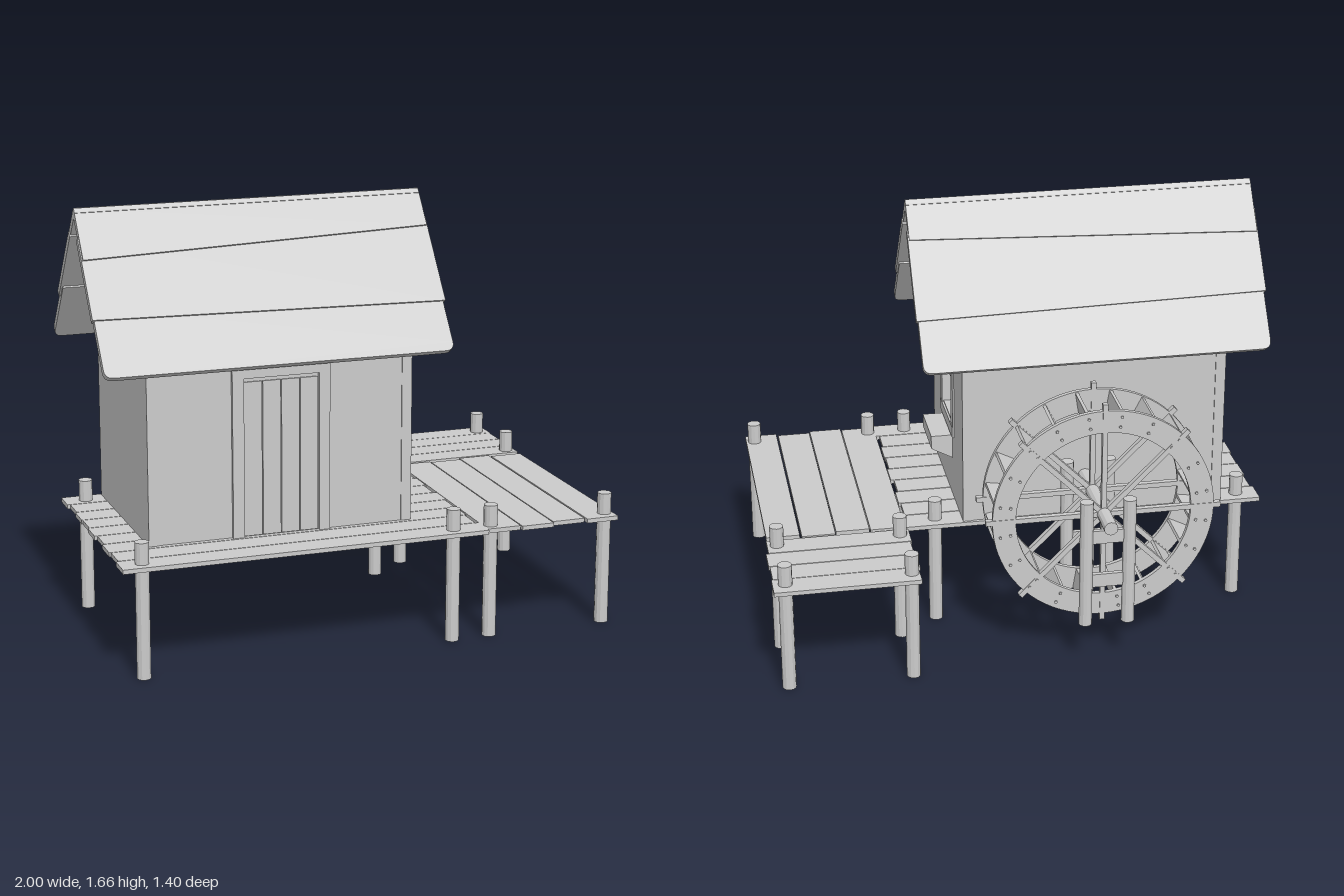
import * as THREE from 'three';

const mat = new THREE.MeshStandardMaterial({ color: 0xcccccc, flatShading: true, side: THREE.DoubleSide });

function add(parent, name, geometry, x = 0, y = 0, z = 0) {
  const mesh = new THREE.Mesh(geometry, mat);
  mesh.name = name;
  mesh.position.set(x, y, z);
  parent.add(mesh);
  return mesh;
}

function group(parent, name, x = 0, y = 0, z = 0) {
  const g = new THREE.Group();
  g.name = name;
  g.position.set(x, y, z);
  parent.add(g);
  return g;
}

// Box given by its limits on each axis
function block(parent, name, x0, x1, y0, y1, z0, z1) {
  return add(parent, name, new THREE.BoxGeometry(x1 - x0, y1 - y0, z1 - z0),
    (x0 + x1) / 2, (y0 + y1) / 2, (z0 + z1) / 2);
}

function post(parent, name, x, z, y0, y1, r = 0.027) {
  return add(parent, name, new THREE.CylinderGeometry(r, r, y1 - y0, 12), x, (y0 + y1) / 2, z);
}

function polygon(points) {
  return new THREE.Shape(points.map(([x, y]) => new THREE.Vector2(x, y)));
}

function extrude(shape, depth, curveSegments = 6) {
  return new THREE.ExtrudeGeometry(shape, { depth, bevelEnabled: false, curveSegments });
}

function buildDecks(root) {
  const deck = group(root, 'deck');
  const y0 = 0.425, y1 = 0.442, gap = 0.002;
  // Main deck, boards along x with uneven ends
  const ends = [0, 0.012, 0.004, 0.015, 0.002, 0.01, 0.006, 0.014, 0];
  ends.forEach((e, i) => {
    const z = -0.252 + i * 0.1058;
    block(deck, 'mainDeckBoard', -0.99 + ends[8 - i] * 0.8, 0.44 - e, y0, y1, z + gap, z + 0.1058 - gap);
  });
  // Side pier, boards along z
  [[0.44, 0.576, -0.245, 0.685], [0.58, 0.71, -0.235, 0.695], [0.714, 0.845, -0.252, 0.68], [0.852, 0.982, -0.237, 0.695]]
    .forEach(([a, b, c, d]) => block(deck, 'pierBoard', a, b, y0, y1, c, d));
  // Rear pier, boards along x
  [[-0.684, 0.44, 0.995], [-0.579, 0.432, 0.99], [-0.473, 0.438, 0.995], [-0.367, 0.432, 0.985]]
    .forEach(([z, a, b]) => block(deck, 'rearPierBoard', a, b, y0, y1, z + gap, z + 0.104));
  // Supporting posts
  for (const x of [-0.905, 0.315]) for (const z of [0.645, -0.192]) post(deck, 'deckPost', x, z, 0, 0.525);
  for (const x of [0.47, 0.947]) for (const z of [0.64, -0.305, -0.62]) post(deck, 'pierPost', x, z, 0, 0.525);
}

function buildHouse(root) {
  const house = group(root, 'house');
  // Gable walls, drawn in (-z, y) and turned to face +x
  for (const side of ['left', 'right']) {
    const s = polygon([[-0.47, 0.44], [0.24, 0.44], [0.24, 1.13], [-0.113, 1.6], [-0.47, 1.13]]);
    if (side === 'left') s.holes.push(polygon([[-0.215, 0.76], [-0.215, 1.035], [-0.005, 1.035], [-0.005, 0.76]]));
    const wall = add(house, side + 'GableWall', extrude(s, 0.04), side === 'left' ? 0.17 : -0.83);
    wall.rotation.y = Math.PI / 2;
  }
  block(house, 'frontWall', -0.79, 0.17, 0.44, 1.14, 0.43, 0.466);
  block(house, 'backWall', -0.79, 0.17, 0.44, 1.14, -0.236, -0.2);

  // Door with frame and planks
  const door = group(house, 'door');
  block(door, 'doorJamb', -0.505, -0.46, 0.44, 1.1, 0.46, 0.48);
  block(door, 'doorJamb', -0.165, -0.122, 0.44, 1.1, 0.46, 0.48);
  block(door, 'doorLintel', -0.46, -0.165, 1.055, 1.1, 0.46, 0.48);
  for (let i = 0; i < 4; i++) {
    const x = -0.458 + i * 0.0735;
    block(door, 'doorPlank', x, x + 0.07, 0.445, 1.04, 0.46, 0.472);
  }

  // Window with frame, glazing bars and ledge
  const win = group(house, 'window');
  block(win, 'windowLintel', 0.2, 0.218, 1.035, 1.08, -0.04, 0.26);
  block(win, 'windowSill', 0.2, 0.218, 0.71, 0.755, -0.04, 0.26);
  block(win, 'windowJamb', 0.2, 0.216, 0.755, 1.035, -0.04, 0.005);
  block(win, 'windowJamb', 0.2, 0.216, 0.755, 1.035, 0.215, 0.26);
  block(win, 'windowPane', 0.17, 0.174, 0.755, 1.035, 0, 0.22);
  block(win, 'windowBar', 0.174, 0.19, 0.755, 1.035, 0.1, 0.12);
  block(win, 'windowBar', 0.174, 0.19, 0.885, 0.905, 0, 0.22);
  block(win, 'windowLedge', 0.21, 0.295, 0.65, 0.703, 0.005, 0.22);
  for (const z of [0.008, 0.207]) {
    add(win, 'ledgeBracket', extrude(polygon([[0.21, 0.602], [0.29, 0.645], [0.29, 0.655], [0.21, 0.655]]), 0.01), 0, 0, z);
  }

  // Roof beams poking out of the gables
  for (const [z, y] of [[0.11, 1.57], [0.225, 1.415], [0.395, 1.217]]) {
    const beam = post(house, 'roofBeam', -0.31, z, y - 0.595, y + 0.595, 0.021);
    beam.position.y = y;
    beam.rotation.z = Math.PI / 2;
  }
}

// One roof board: top and lower edges are distances down the slope at each end
function roofBoard(parent, width, top, lower, lift, round) {
  const w = width / 2, [a, b] = lower, r = round;
  const s = new THREE.Shape();
  s.moveTo(-w, -top[0]);
  s.lineTo(-w, -a + r);
  if (r) s.quadraticCurveTo(-w, -a, -w + r, -a);
  s.lineTo(w - r, -b);
  if (r) s.quadraticCurveTo(w, -b, w, -b + r);
  s.lineTo(w, -top[1]);
  s.closePath();
  const g = extrude(s, 0.026);
  g.translate(0, 0, -0.026 + lift);
  g.rotateX(-Math.atan2(0.42, 0.55));
  add(parent, 'roofBoard', g);
}

function buildRoof(root) {
  const roof = group(root, 'roof', -0.315, 1.66, 0.11);
  for (const back of [false, true]) {
    const slope = group(roof, back ? 'backSlope' : 'frontSlope');
    slope.rotation.y = back ? Math.PI : 0;
    const ends = (l, r) => (back ? [r, l] : [l, r]);
    roofBoard(slope, 1.36, [0.4, 0.4], [0.685, 0.685], -0.012, 0.035);
    roofBoard(slope, 1.375, [0.12, 0.12], ends(0.455, 0.48), -0.004, 0);
    roofBoard(slope, 1.366, [0, 0], ends(0.215, 0.16), 0.004, 0);
  }
}

function buildWheel(root) {
  const cx = -0.275, cy = 0.6, near = -0.367, far = -0.571;
  const wheel = group(root, 'waterWheel', cx, cy, 0);
  const ring = new THREE.Shape();
  ring.absarc(0, 0, 0.43, 0, Math.PI * 2);
  const hole = new THREE.Path();
  hole.absarc(0, 0, 0.34, 0, Math.PI * 2, true);
  ring.holes.push(hole);

  for (const z of [near, far]) {
    add(wheel, 'wheelRim', extrude(ring, 0.018, 40), 0, 0, z - 0.009);
    // Spokes run across the whole wheel and peek past the rim
    for (let i = 0; i < 4; i++) {
      add(wheel, 'spoke', new THREE.BoxGeometry(0.912, 0.02, 0.022), 0, 0, z).rotation.z = i * Math.PI / 4;
    }
  }
  // Paddles between the rims, with bolts outside
  for (let i = 0; i < 20; i++) {
    const arm = group(wheel, 'paddleArm');
    arm.rotation.z = (i + 0.5) * Math.PI / 10;
    block(arm, 'paddle', 0.342, 0.425, -0.006, 0.006, far, near);
    for (const z of [near + 0.011, far - 0.011]) for (const r of [0.365, 0.405]) {
      add(arm, 'bolt', new THREE.CylinderGeometry(0.006, 0.006, 0.008, 6), r, 0, z).rotation.x = Math.PI / 2;
    }
  }
  // Axle
  add(wheel, 'axle', new THREE.CylinderGeometry(0.027, 0.027, 0.47, 12), 0, 0, -0.47).rotation.x = Math.PI / 2;

  // Stands carrying the axle on both sides
  const stand = group(root, 'axleStand');
  for (const z of [-0.295, -0.653]) {
    for (const x of [cx - 0.083, cx + 0.083]) post(stand, 'standPost', x, z, 0.175, 0.695, 0.026);
    for (const y of [0.36, 0.545]) block(stand, 'standBrace', cx - 0.083, cx + 0.083, y - 0.027, y + 0.027, z - 0.009, z + 0.009);
  }
}

export function createModel() {
  const model = new THREE.Group();
  model.name = 'waterMill';
  buildDecks(model);
  buildHouse(model);
  buildRoof(model);
  buildWheel(model);
  return model;
}
